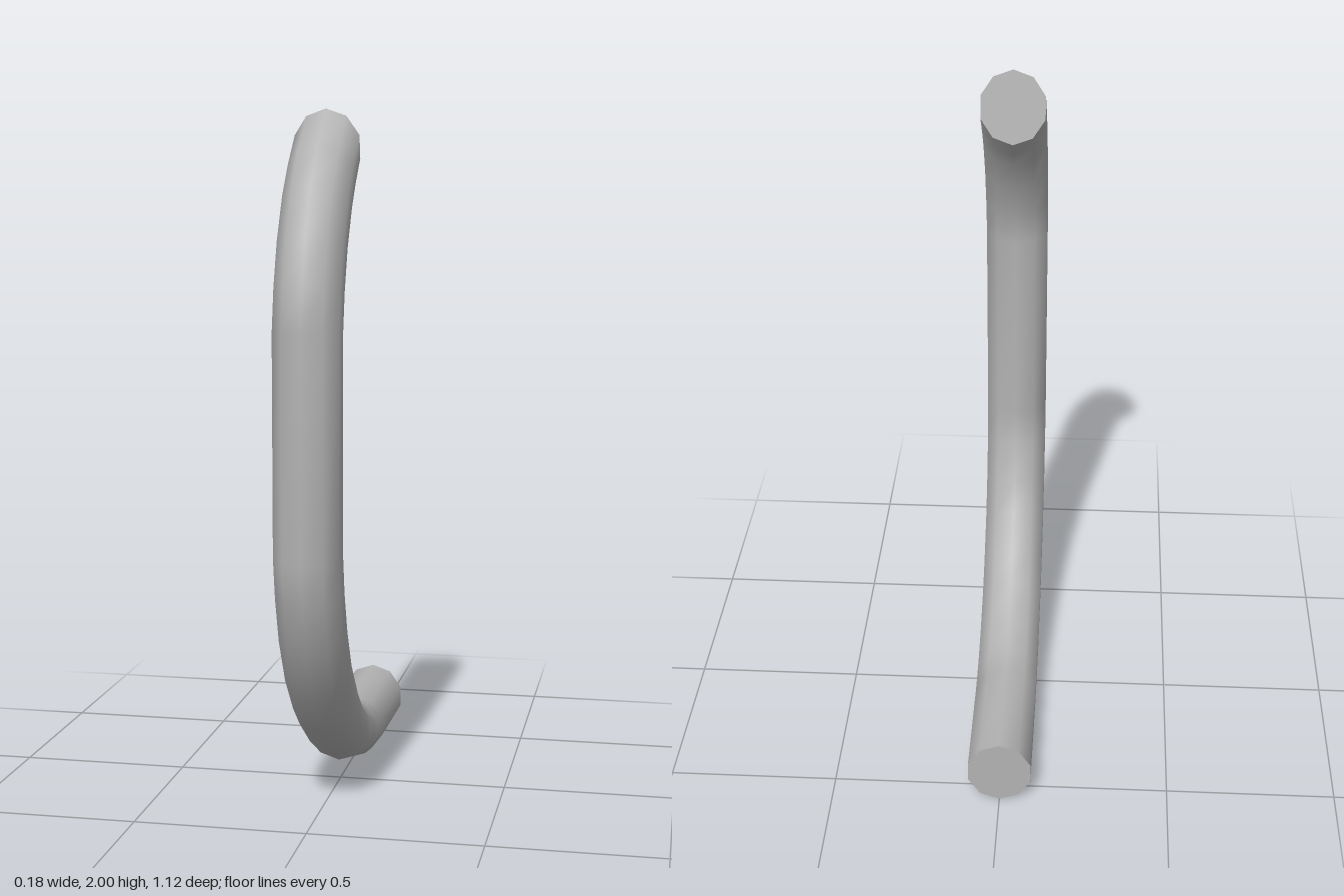
import * as THREE from 'three';

const SIDES = 10;
const HALF_WIDTH = 0.097;

// Cross-sections along the bend: [outer z, outer y, inner z, inner y]
const SECTIONS = [
  [-0.56, 0.0, -0.56, 0.205],
  [-0.22, 0.01, -0.2, 0.2],
  [-0.1, 0.03, -0.117, 0.215],
  [0.03, 0.065, -0.02, 0.25],
  [0.19, 0.15, 0.1, 0.32],
  [0.29, 0.23, 0.17, 0.38],
  [0.4, 0.35, 0.26, 0.48],
  [0.493, 0.507, 0.308, 0.57],
  [0.536, 0.645, 0.35, 0.68],
  [0.56, 0.77, 0.371, 0.79],
  [0.56, 1.4, 0.371, 1.387],
  [0.536, 1.53, 0.35, 1.49],
  [0.493, 1.66, 0.308, 1.6],
  [0.42, 1.795, 0.25, 1.695],
  [0.334, 1.895, 0.21, 1.745],
  [0.213, 2.0, 0.172, 1.79],
];

// Points of one elliptical ring, starting at the outer side of the bend
function ring([oz, oy, iz, iy]) {
  const cz = (oz + iz) / 2, cy = (oy + iy) / 2;
  const points = [];
  for (let j = 0; j < SIDES; j++) {
    const a = (j / SIDES) * Math.PI * 2;
    const c = Math.cos(a);
    points.push(Math.sin(a) * HALF_WIDTH, cy + (oy - cy) * c, cz + (oz - cz) * c);
  }
  return points;
}

function makeGeometry(positions, index) {
  const geometry = new THREE.BufferGeometry();
  geometry.setAttribute('position', new THREE.Float32BufferAttribute(positions, 3));
  geometry.setIndex(index);
  geometry.computeVertexNormals();
  return geometry;
}

// Smooth skin joining the rings
function tubeGeometry() {
  const index = [];
  for (let i = 0; i < SECTIONS.length - 1; i++) {
    for (let j = 0; j < SIDES; j++) {
      const k = (j + 1) % SIDES;
      const a = i * SIDES + j, b = i * SIDES + k;
      index.push(a, b, b + SIDES, a, b + SIDES, a + SIDES);
    }
  }
  return makeGeometry(SECTIONS.flatMap(ring), index);
}

// Flat end disc
function capGeometry(section, reversed) {
  const index = [];
  for (let j = 1; j < SIDES - 1; j++) {
    index.push(0, reversed ? j + 1 : j, reversed ? j : j + 1);
  }
  return makeGeometry(ring(section), index);
}

export function createModel() {
  const group = new THREE.Group();
  group.name = 'bentPipe';
  const grey = new THREE.MeshStandardMaterial({ color: 0xb3b3b3 });
  grey.name = 'grey';

  const add = (name, geometry) => {
    const mesh = new THREE.Mesh(geometry, grey);
    mesh.name = name;
    group.add(mesh);
  };
  add('pipe', tubeGeometry());
  add('lowerEnd', capGeometry(SECTIONS[0], true));
  add('upperEnd', capGeometry(SECTIONS[SECTIONS.length - 1], false));
  return group;
}
